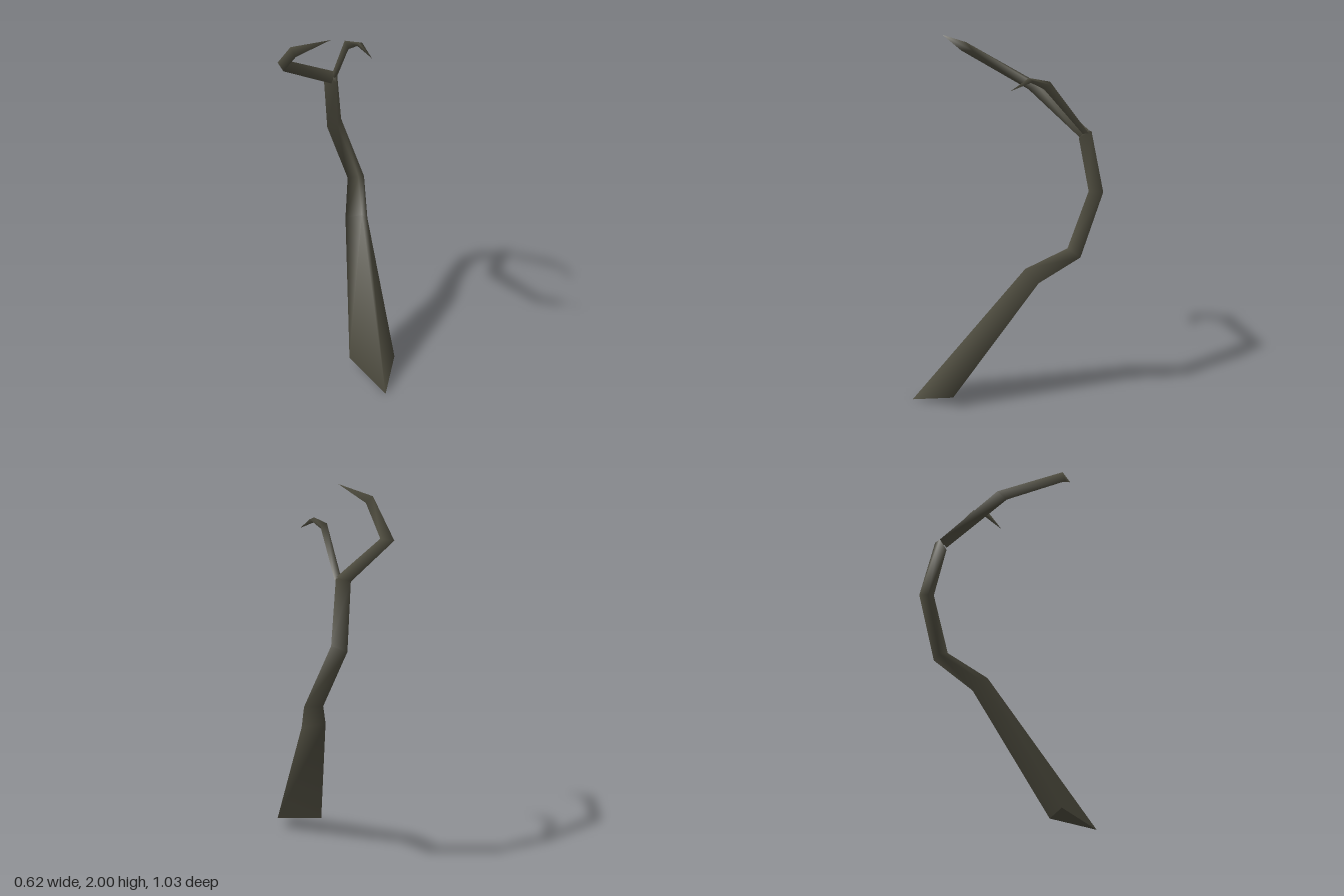
import * as THREE from 'three';

const bark = new THREE.MeshStandardMaterial({ color: 0x4d4b3e });
bark.name = 'bark';

// Smooth skin over three-cornered rings, closed to a point at the tip
function limb(name, rings, tip) {
  const pos = [...rings.flat(2), ...tip];
  const index = [];
  const last = rings.length - 1;
  for (let r = 0; r <= last; r++) {
    for (let i = 0; i < 3; i++) {
      const j = (i + 1) % 3;
      const a = r * 3 + i, b = r * 3 + j;
      if (r < last) index.push(a, b, b + 3, a, b + 3, a + 3);
      else index.push(a, b, rings.length * 3);
    }
  }
  return build(name, pos, index);
}

function build(name, pos, index) {
  const geo = new THREE.BufferGeometry();
  geo.setAttribute('position', new THREE.Float32BufferAttribute(pos, 3));
  geo.setIndex(index);
  geo.computeVertexNormals();
  const mesh = new THREE.Mesh(geo, bark);
  mesh.name = name;
  return mesh;
}

export function createModel() {
  const group = new THREE.Group();
  group.name = 'bareTree';

  // Each ring: left, front, right corner
  const base = [[0.05, 0.06, 0.27], [0.235, 0, 0.515], [0.307, 0.065, 0.275]];
  const fork = [[-0.06, 1.5, -0.43], [0.01, 1.48, -0.38], [0.015, 1.52, -0.445]];
  group.add(limb('trunk', [
    base,
    [[0.05, 0.73, -0.17], [0.14, 0.78, -0.11], [0.178, 0.715, -0.185]],
    [[0.075, 0.87, -0.39], [0.135, 0.905, -0.335], [0.173, 0.87, -0.405]],
    [[-0.04, 1.16, -0.48], [0.02, 1.19, -0.44], [0.043, 1.195, -0.517]],
    fork,
  ], [-0.01, 1.52, -0.42]));

  // Underside of the trunk
  group.add(build('trunkBase', base.flat(), [0, 2, 1]));

  // Long hooked branch
  group.add(limb('longBranch', [
    [[-0.058, 1.5, -0.43], [-0.02, 1.475, -0.385], [0.012, 1.525, -0.43]],
    [[-0.31, 1.695, -0.16], [-0.28, 1.67, -0.1], [-0.238, 1.705, -0.147]],
    [[-0.24, 1.93, 0.235], [-0.215, 1.89, 0.26], [-0.197, 1.892, 0.195]],
  ], [-0.053, 2, 0.337]));

  // Short curled branch
  group.add(limb('shortBranch', [
    [[-0.018, 1.5, -0.43], [0, 1.5, -0.4], [0.02, 1.51, -0.43]],
    [[0.045, 1.785, -0.225], [0.065, 1.75, -0.195], [0.08, 1.775, -0.23]],
    [[0.105, 1.815, -0.12], [0.105, 1.79, -0.13], [0.13, 1.805, -0.14]],
  ], [0.173, 1.76, -0.03]));

  return group;
}
